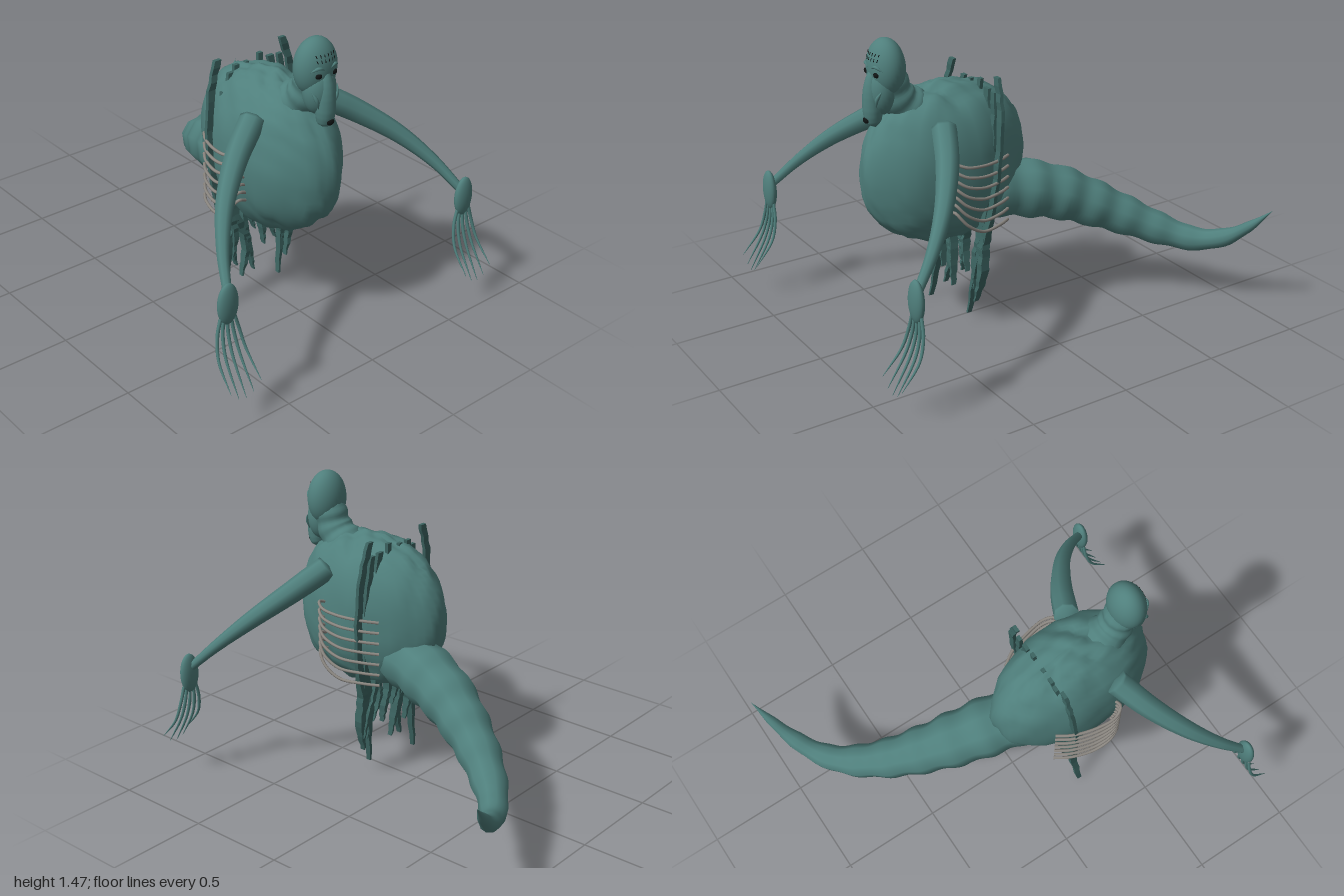
import * as THREE from 'three';
import { mergeVertices } from 'three/addons/utils/BufferGeometryUtils.js';

const CX = -0.03; // symmetry plane of the body
const V = (x, y, z) => new THREE.Vector3(x, y, z);
const material = (color) => new THREE.MeshStandardMaterial({ color });
const skin = material(0x4f7f7c);
const strapSkin = material(0x3c6461);
const bone = material(0x8a8680);
const dark = material(0x101414);

// Weld the seam and smooth the normals
function weld(geo) {
  geo.deleteAttribute('uv');
  geo.deleteAttribute('normal');
  const welded = mergeVertices(geo, 1e-5);
  welded.computeVertexNormals();
  return welded;
}

function add(parent, name, geo, mat = skin) {
  const mesh = new THREE.Mesh(geo, mat);
  mesh.name = name;
  parent.add(mesh);
  return mesh;
}

// Tube along points whose radius is a function of the distance along it
function limb(points, radius, segs = 32, sides = 14) {
  const curve = new THREE.CatmullRomCurve3(points);
  const geo = new THREE.TubeGeometry(curve, segs, 1, sides);
  const pos = geo.attributes.position;
  const p = V(0, 0, 0);
  for (let i = 0; i <= segs; i++) {
    const c = curve.getPointAt(i / segs);
    const r = radius(i / segs);
    for (let j = 0; j <= sides; j++) {
      const k = i * (sides + 1) + j;
      p.fromBufferAttribute(pos, k).sub(c).multiplyScalar(r).add(c);
      pos.setXYZ(k, p.x, p.y, p.z);
    }
  }
  return weld(geo);
}

// Radius function from an evenly spaced list
const along = (list) => (u) => {
  const t = u * (list.length - 1);
  const i = Math.min(Math.floor(t), list.length - 2);
  return THREE.MathUtils.lerp(list[i], list[i + 1], t - i);
};

function ball(c, r, w = 24, h = 18) {
  return new THREE.SphereGeometry(1, w, h).scale(...r).translate(...c);
}

// Bulky torso with sagging folds, narrower at the rear and the breast
function bodyGeometry() {
  const geo = new THREE.SphereGeometry(1, 48, 36);
  const pos = geo.attributes.position;
  const p = V(0, 0, 0);
  const e = 2.15;
  for (let i = 0; i < pos.count; i++) {
    p.fromBufferAttribute(pos, i);
    const n = Math.pow(Math.abs(p.x) ** e + Math.abs(p.y) ** e + Math.abs(p.z) ** e, -1 / e);
    const fold = Math.abs(Math.sin(6 * p.z + 3 * Math.abs(p.x) + 1.5 * p.y));
    const rough = 0.25 + 0.75 * Math.abs(p.y);
    const lump = 1.01 + 0.014 * Math.sin(9 * p.x + 4 * p.y) * Math.cos(7 * p.z - 3 * p.y)
      + rough * (0.014 * Math.sin(19 * p.z + 11 * p.x + 6 * p.y)
        + 0.012 * Math.sin(23 * p.x - 9 * p.z + 14 * p.y) - 0.04 * (1 - fold) ** 3);
    p.multiplyScalar(n * lump);
    const rear = THREE.MathUtils.smoothstep(-p.z, 0.1, 1);
    const breast = THREE.MathUtils.smoothstep(p.z, 0.6, 1);
    pos.setXYZ(i, CX + 0.245 * p.x * (1 - 0.15 * rear - 0.2 * breast),
      0.835 + 0.38 * p.y - 0.015 * p.z * (1 - p.y * p.y), 0.305 + 0.42 * p.z);
  }
  return weld(geo);
}

// Flat ragged strip, deeper below the belly and narrowing at the end
function strip(top, path, width, back = 0) {
  const pts = [top, ...path].map(([x, y]) => V(x, y, back + 0.135 + 0.11 * ((1.26 - y) / 1.26) ** 1.1));
  const curve = new THREE.CatmullRomCurve3(pts);
  const geo = new THREE.BoxGeometry(1, 1, 1, 1, 22, 1);
  const pos = geo.attributes.position;
  for (let i = 0; i < pos.count; i++) {
    const t = 0.5 - pos.getY(i);
    const c = curve.getPoint(t);
    const taper = Math.min(1, 0.25 + (1 - t) * 3);
    const w = width * taper * (1 + 0.1 * Math.sin(t * 41 + top[0] * 30));
    const depth = 0.018 + 0.025 * taper * THREE.MathUtils.smoothstep(-c.y, -0.65, -0.4);
    pos.setXYZ(i, c.x + pos.getX(i) * w, c.y, c.z + 0.003 * Math.sin(t * 57) + pos.getZ(i) * depth);
  }
  const flat = geo.toNonIndexed();
  flat.computeVertexNormals();
  return flat;
}

function buildHead() {
  const head = new THREE.Group();
  head.name = 'head';
  add(head, 'neck', limb([V(CX, 1.04, 0.36), V(CX, 1.11, 0.46), V(CX, 1.19, 0.54), V(CX, 1.3, 0.58)],
    (u) => along([0.135, 0.108, 0.085, 0.078])(u) + 0.004 * Math.sin(u * 30)));
  add(head, 'skull', ball([CX, 1.335, 0.592], [0.106, 0.137, 0.084], 32, 24));
  add(head, 'jaw', ball([CX, 1.235, 0.622], [0.08, 0.115, 0.07]));
  // long drooping snout with a blunt end
  add(head, 'snout', limb([V(CX, 1.36, 0.648), V(CX, 1.27, 0.662), V(CX, 1.18, 0.665), V(CX, 1.11, 0.663), V(CX, 1.065, 0.653)],
    along([0.006, 0.02, 0.03, 0.037, 0.042, 0.045, 0.046, 0.046, 0.043, 0.036, 0]), 44));
  add(head, 'nostril', ball([CX, 1.108, 0.7], [0.02, 0.016, 0.012], 14, 10), dark);
  for (const s of [-1, 1]) {
    const x = (d) => CX + s * d;
    add(head, 'eye', ball([x(0.043), 1.323, 0.664], [0.017, 0.013, 0.012], 16, 12), dark);
    add(head, 'brow', limb([V(x(0.015), 1.348, 0.674), V(x(0.045), 1.36, 0.668), V(x(0.078), 1.343, 0.65)],
      (u) => 0.008 * Math.sin(Math.PI * u), 12, 8));
    add(head, 'cheekFold', limb([V(x(0.075), 1.255, 0.655), V(x(0.058), 1.215, 0.672), V(x(0.045), 1.17, 0.672)],
      (u) => 0.009 * Math.sin(Math.PI * u), 12, 8));
    // two broken rows of forehead creases
    for (let i = 0; i < 6; i++) {
      const d = 0.01 + (i % 3) * 0.019;
      const y = i < 3 ? 1.386 : 1.408;
      const z = 0.59 + 0.084 * Math.sqrt(1 - ((y - 1.335) / 0.137) ** 2 - (d / 0.106) ** 2);
      const crease = add(head, 'foreheadCrease', new THREE.BoxGeometry(0.003, 0.014, 0.006), dark);
      crease.position.set(x(d), y, z);
      crease.rotation.set(-0.3, 0, -s * 0.12 * (i % 3));
    }
  }
  return head;
}

function buildArm(s) {
  const arm = new THREE.Group();
  arm.name = s > 0 ? 'leftArm' : 'rightArm';
  const P = (d, y, z) => V(CX + s * d, y, z);
  const sleeve = along([0.06, 0.058, 0.053, 0.047, 0.04, 0.032, 0.025, 0.02]);
  add(arm, 'armLimb', limb([P(0.19, 1.075, 0.41), P(0.36, 0.968, 0.5), P(0.52, 0.843, 0.62), P(0.63, 0.715, 0.745), P(0.7, 0.59, 0.865)],
    (u) => (u === 0 ? 0 : sleeve(u)), 64, 8));
  add(arm, 'palm', ball([CX + s * 0.706, 0.56, 0.872], [0.053, 0.1, 0.028]));
  // long curved claws
  for (let i = -2; i <= 2; i++) {
    const a = Math.abs(i);
    const d = 0.709;
    add(arm, 'finger', limb([
      P(d + i * 0.018, 0.51 - 0.004 * a, 0.872),
      P(d + i * 0.029, 0.42, 0.878),
      P(d + i * 0.037, 0.32, 0.908),
      P(d + i * 0.041, 0.155 + 0.013 * a * a, 1.0),
    ], along([0.008, 0.008, 0.007, 0.005, 0.001]), 18, 8));
  }
  return arm;
}

function buildRibs(s) {
  const ribs = new THREE.Group();
  ribs.name = s > 0 ? 'leftRibs' : 'rightRibs';
  for (let i = 0; i < 7; i++) {
    const y = 0.885 - i * 0.054;
    const f = 0.92 - i * 0.04; // front end climbs more on the lower ribs
    const P = (d, h, z) => V(CX + s * d, h, z);
    const curve = new THREE.CatmullRomCurve3([
      P(0.21, y - 0.012, 0.08), P(0.255, y - 0.005, 0.15), P(0.292, y + 0.003, 0.27),
      P(0.298, (y + f) / 2, 0.36), P(0.27, f, 0.405), P(0.225, f - 0.015, 0.4),
    ]);
    add(ribs, 'rib', new THREE.TubeGeometry(curve, 28, 0.0075, 8), bone);
  }
  return ribs;
}

export function createModel() {
  const model = new THREE.Group();
  model.name = 'creature';
  add(model, 'body', bodyGeometry());
  model.add(buildHead());
  for (const s of [-1, 1]) model.add(buildArm(s), buildRibs(s));

  // Ridged tail sweeping back to the left and curling up
  const thick = along([0.145, 0.145, 0.14, 0.126, 0.11, 0.094, 0.078, 0.06, 0.044, 0.025, 0]);
  add(model, 'tail', limb([
    V(0, 0.65, 0.08), V(0.045, 0.625, -0.08), V(0.095, 0.58, -0.25), V(0.155, 0.515, -0.4), V(0.25, 0.425, -0.58),
    V(0.365, 0.352, -0.73), V(0.48, 0.325, -0.83), V(0.61, 0.365, -0.905), V(0.72, 0.45, -0.955), V(0.825, 0.56, -1),
  ], (u) => thick(u) * (1 + 0.05 * Math.sin(u * Math.PI * 18)), 90, 10));

  // Ragged strips hanging through and around the body
  const strips = new THREE.Group();
  strips.name = 'hangingStrips';
  const paths = [
    [[-0.205, 1.25], [[-0.25, 1.1], [-0.275, 0.8], [-0.24, 0.5], [-0.215, 0.3], [-0.262, 0.005]], 0.036],
    [[0.175, 1.26], [[0.22, 1.1], [0.225, 0.8], [0.18, 0.5], [0.125, 0.33], [0.085, 0.06]], 0.036],
    [[0.1, 1.19], [[0.14, 0.9], [0.16, 0.5], [0.17, 0.3], [0.135, 0.14]], 0.036],
    [[0.155, 1.185], [[0.18, 0.9], [0.14, 0.5], [0.11, 0.35], [0.12, 0.2]], 0.03],
    [[-0.13, 1.17], [[-0.2, 0.9], [-0.17, 0.5], [-0.1, 0.3], [-0.14, 0.13]], 0.036],
    [[-0.1, 1.2], [[-0.14, 0.9], [-0.15, 0.5], [-0.19, 0.35], [-0.17, 0.2]], 0.03],
    [[-0.04, 1.2], [[-0.08, 0.8], [-0.11, 0.45], [-0.09, 0.28], [-0.068, 0.14]], 0.024],
    [[0.04, 1.22], [[0.02, 0.8], [-0.02, 0.45], [0.0, 0.35], [0.005, 0.25]], 0.024],
    [[-0.19, 1.1], [[-0.22, 0.8], [-0.2, 0.5], [-0.18, 0.38], [-0.2, 0.24]], 0.03, 0.015],
    [[0.08, 1.15], [[0.08, 0.8], [0.04, 0.5], [0.03, 0.4], [0.065, 0.27]], 0.02, 0.015],
    [[-0.08, 1.15], [[-0.06, 0.8], [-0.05, 0.5], [-0.055, 0.42], [-0.035, 0.34]], 0.02, -0.015],
    [[0.12, 1.0], [[0.12, 0.8], [0.1, 0.5], [0.14, 0.36], [0.16, 0.22]], 0.025, -0.015],
  ];
  for (const [top, path, width, back] of paths) add(strips, 'strip', strip(top, path, width, back), strapSkin);
  model.add(strips);
  return model;
}
